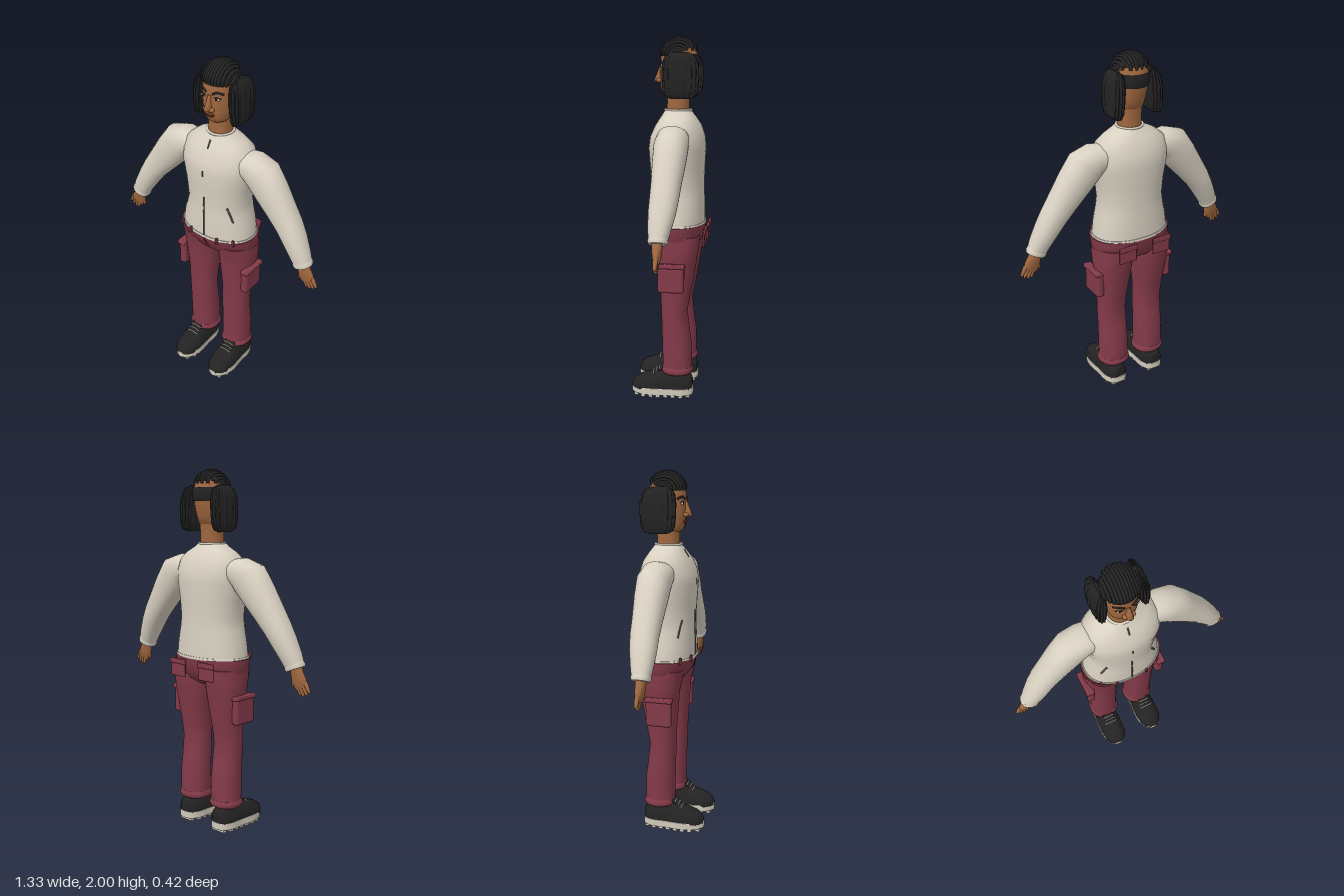
import * as THREE from 'three';
import { RoundedBoxGeometry } from 'three/addons/geometries/RoundedBoxGeometry.js';

const V = (x, y, z) => new THREE.Vector3(x, y, z);
const P = 2.2; // cross-section squareness

// Cross-section axes for upright, sideways and forward-running lofts
const upright = () => [V(1, 0, 0), V(0, 0, 1)];
const limb = d => [V(0, 0, 1), V(-d.y, d.x, 0).normalize()];
const forward = () => [V(0, 1, 0), V(1, 0, 0)];

// Skin through rows of [x, y, z, radiusA, radiusB], closed by caps
function loft(rows, frame = upright, n = 32, ripples = 0) {
  const pos = [], index = [];
  rows.forEach((r, i) => {
    const a = rows[Math.max(0, i - 1)], b = rows[Math.min(rows.length - 1, i + 1)];
    const [u, v] = frame(V(b[0] - a[0], b[1] - a[1], b[2] - a[2]).normalize());
    for (let j = 0; j < n; j++) {
      const t = j / n * Math.PI * 2, c = Math.cos(t), s = Math.sin(t);
      const k = ripples ? 0.88 + 0.16 * Math.abs(Math.sin(t * ripples / 2)) : 1;
      const q = V(r[0], r[1], r[2])
        .addScaledVector(u, Math.sign(c) * Math.abs(c) ** (2 / P) * r[3] * k)
        .addScaledVector(v, Math.sign(s) * Math.abs(s) ** (2 / P) * r[4] * k);
      pos.push(q.x, q.y, q.z);
      if (i < rows.length - 1) {
        const p = i * n + j, o = i * n + (j + 1) % n;
        index.push(p, p + n, o, o, p + n, o + n);
      }
    }
  });
  for (const i of [0, rows.length - 1]) {
    const base = pos.length / 3;
    pos.push(...pos.slice(i * n * 3, (i + 1) * n * 3), ...rows[i].slice(0, 3));
    for (let j = 0; j < n; j++) {
      const p = base + j, o = base + (j + 1) % n;
      index.push(...(i ? [base + n, o, p] : [base + n, p, o]));
    }
  }
  const g = new THREE.BufferGeometry();
  g.setAttribute('position', new THREE.Float32BufferAttribute(pos, 3));
  g.setIndex(index);
  g.computeVertexNormals();
  return g;
}

// Front surface of an upright loft at x, y
function frontZ(rows, x, y) {
  let i = 0;
  while (i < rows.length - 2 && rows[i + 1][1] < y) i++;
  const t = (y - rows[i][1]) / (rows[i + 1][1] - rows[i][1]);
  const at = k => THREE.MathUtils.lerp(rows[i][k], rows[i + 1][k], t);
  return at(2) + at(4) * Math.max(0, 1 - Math.abs(x / at(3)) ** P) ** (1 / P);
}

function mirrored(geo) {
  const g = geo.clone().scale(-1, 1, 1);
  const id = g.index ? Array.from(g.index.array) : [...Array(g.attributes.position.count).keys()];
  for (let i = 0; i < id.length; i += 3) [id[i], id[i + 1]] = [id[i + 1], id[i]];
  g.setIndex(id);
  return g;
}

const blob = (x, y, z, a, b, c) => new THREE.SphereGeometry(1, 20, 14).scale(a, b, c).translate(x, y, z);
const tube = (pts, r, n = 12) => new THREE.TubeGeometry(new THREE.CatmullRomCurve3(pts), n, r, 8);
const pad = (x, y, z, w, h, d, r = 0.006) => new RoundedBoxGeometry(w, h, d, 2, r).translate(x, y, z);

export function createModel() {
  const model = new THREE.Group();
  const paint = (name, color) => Object.assign(new THREE.MeshStandardMaterial({ color }), { name });
  const cream = paint('cream cloth', 0xd8d0c1), maroon = paint('maroon cloth', 0x843a49);
  const skin = paint('skin', 0xa0673f), black = paint('black', 0x232323);
  const grey = paint('zip grey', 0x5a5650), sole = paint('sole', 0xd2cbbb);
  const white = paint('eye white', 0xe6e0d4), iris = paint('iris', 0x2c1a10);
  const lips = paint('lips', 0x6e3f2a), seam = paint('seam', 0x4c1f2a);
  const add = (name, geo, mat) => {
    const m = new THREE.Mesh(geo, mat);
    m.name = name;
    model.add(m);
  };
  const pair = (name, geo, mat) => {
    add('left ' + name, geo, mat);
    add('right ' + name, mirrored(geo), mat);
  };

  // Jacket body
  const torso = [
    [0, 0.98, -0.035, 0.222, 0.153], [0, 1.06, -0.035, 0.212, 0.152], [0, 1.14, -0.035, 0.194, 0.149],
    [0, 1.2, -0.035, 0.185, 0.147], [0, 1.3, -0.034, 0.195, 0.151], [0, 1.4, -0.033, 0.214, 0.157],
    [0, 1.46, -0.035, 0.214, 0.15], [0, 1.52, -0.038, 0.198, 0.126], [0, 1.56, -0.038, 0.15, 0.1],
    [0, 1.587, -0.037, 0.098, 0.082], [0, 1.603, -0.036, 0.076, 0.072]];
  add('jacket body', loft(torso, upright, 40), cream);
  add('jacket hem', loft([[0, 0.976, -0.035, 0.224, 0.155], [0, 0.983, -0.035, 0.229, 0.16], [0, 0.994, -0.035, 0.224, 0.156]], upright, 40), cream);
  add('collar', new THREE.TorusGeometry(0.071, 0.007, 8, 32).rotateX(Math.PI / 2).translate(0, 1.604, -0.036), cream);
  for (const [a, b] of [[0.99, 1.25], [1.385, 1.42], [1.535, 1.575]]) {
    const pts = [0, 0.25, 0.5, 0.75, 1].map(t => a + (b - a) * t).map(y => V(0, y, frontZ(torso, 0, y)));
    add('front zip', tube(pts, 0.004), grey);
  }
  pair('pocket zip', tube([0, 0.5, 1].map(t => V(0.16 - 0.032 * t, 1.115 + 0.095 * t, 0))
    .map(p => p.setZ(frontZ(torso, p.x, p.y))), 0.005), grey);

  // Sleeves and cuffs
  pair('sleeve', loft([
    [0.15, 1.46, -0.035, 0.08, 0.065], [0.215, 1.455, -0.035, 0.088, 0.084], [0.275, 1.425, -0.035, 0.09, 0.104],
    [0.335, 1.35, -0.033, 0.086, 0.095], [0.4, 1.265, -0.03, 0.078, 0.083], [0.46, 1.185, -0.027, 0.074, 0.072],
    [0.5, 1.12, -0.022, 0.07, 0.065], [0.545, 1.04, -0.015, 0.057, 0.057], [0.57, 0.985, -0.012, 0.046, 0.051]], limb), cream);
  pair('cuff', loft([[0.561, 1.005, -0.012, 0.049, 0.053], [0.566, 0.994, -0.012, 0.052, 0.056], [0.572, 0.98, -0.012, 0.047, 0.052]], limb), cream);

  // Hands
  pair('palm', loft([
    [0.57, 1.0, -0.01, 0.028, 0.03], [0.578, 0.965, -0.01, 0.027, 0.035], [0.592, 0.925, -0.01, 0.023, 0.045],
    [0.606, 0.895, -0.01, 0.015, 0.042], [0.612, 0.883, -0.01, 0.009, 0.034]], limb, 20), skin);
  const fingers = [[0.638, 0.912, 0.662, 0.866], [0.623, 0.9, 0.645, 0.852], [0.607, 0.893, 0.625, 0.842], [0.592, 0.892, 0.604, 0.845], [0.568, 0.94, 0.552, 0.885]];
  for (const [x, y, tx, ty] of fingers) {
    const at = (t, r) => [x + (tx - x) * t, y + (ty - y) * t, -0.01, r, r * 0.85];
    pair('finger', loft([at(-0.2, 0.01), at(0, 0.013), at(0.6, 0.011), at(0.9, 0.008), at(1, 0.003)], limb, 10), skin);
  }

  // Trousers
  const hips = [[0, 0.83, -0.05, 0.09, 0.06], [0, 0.86, -0.048, 0.2, 0.105], [0, 0.92, -0.042, 0.234, 0.143], [0, 0.985, -0.035, 0.236, 0.159]];
  add('hips', loft(hips, upright, 40), maroon);
  pair('trouser leg', loft([
    [0.12, 0.15, -0.05, 0.084, 0.081], [0.12, 0.3, -0.048, 0.084, 0.083], [0.12, 0.4, -0.04, 0.083, 0.077],
    [0.121, 0.5, -0.033, 0.083, 0.073], [0.121, 0.6, -0.04, 0.085, 0.084], [0.12, 0.7, -0.046, 0.096, 0.097],
    [0.12, 0.8, -0.05, 0.109, 0.108], [0.12, 0.86, -0.048, 0.112, 0.12], [0.122, 0.93, -0.042, 0.106, 0.13]]), maroon);
  pair('trouser cuff', loft([[0.12, 0.14, -0.05, 0.085, 0.082], [0.12, 0.153, -0.05, 0.093, 0.09], [0.12, 0.165, -0.05, 0.091, 0.088], [0.12, 0.178, -0.05, 0.084, 0.082]]), maroon);
  for (const x of [0.09, 0.175]) {
    pair('belt loop', pad(x, 0.99, frontZ(hips, x, 0.98) + 0.004, 0.014, 0.04, 0.012, 0.003), maroon);
  }
  add('fly seam', tube([0.975, 0.945, 0.912].map((y, i) => V(0.008 * i, y, frontZ(hips, 0, y))), 0.003), seam);

  // Cargo pockets and back pockets with flaps
  pair('cargo pocket', pad(0.223, 0.7, -0.027, 0.046, 0.145, 0.145, 0.016), maroon);
  pair('cargo flap', new RoundedBoxGeometry(0.05, 0.026, 0.156, 2, 0.008).rotateZ(0.12).translate(0.229, 0.777, -0.027), maroon);
  pair('back pocket', pad(0.108, 0.92, -0.196, 0.11, 0.095, 0.012, 0.005), maroon);
  pair('back pocket flap', pad(0.108, 0.958, -0.202, 0.116, 0.03, 0.014, 0.005), maroon);

  // Shoes
  const upper = loft([
    [0.127, 0.05, -0.136, 0.06, 0.03], [0.127, 0.05, -0.122, 0.09, 0.053], [0.127, 0.05, -0.08, 0.105, 0.067],
    [0.127, 0.05, 0, 0.108, 0.069], [0.127, 0.05, 0.05, 0.1, 0.072], [0.127, 0.05, 0.1, 0.082, 0.074],
    [0.127, 0.05, 0.16, 0.062, 0.066], [0.127, 0.05, 0.19, 0.044, 0.046], [0.127, 0.05, 0.206, 0.014, 0.018]], forward);
  const up = upper.attributes.position;
  for (let i = 0; i < up.count; i++) up.setY(i, Math.max(0.045, up.getY(i)));
  upper.computeVertexNormals();
  pair('shoe upper', upper, black);
  const half = [[0.05, 0.172], [0.073, 0.1], [0.068, 0], [0.066, -0.08], [0.042, -0.127]];
  const rim = [[0, 0.206], ...half, [0, -0.138], ...half.map(([x, z]) => [-x, z]).reverse()];
  const outline = new THREE.CatmullRomCurve3(rim.map(([x, z]) => V(x, z, 0)), true).getPoints(48).slice(0, -1);
  const plate = new THREE.ExtrudeGeometry(new THREE.Shape(outline.map(p => new THREE.Vector2(p.x, p.y))),
    { depth: 0.032, bevelSize: 0.004, bevelThickness: 0.004, bevelSegments: 2 });
  pair('shoe sole', plate.rotateX(Math.PI / 2).translate(0.127, 0.051, 0), sole);
  for (let i = 0; i < 8; i++) {
    const w = [0.09, 0.122, 0.126, 0.128, 0.134, 0.138, 0.128, 0.085][i];
    pair('sole tread', new THREE.BoxGeometry(w, 0.016, 0.022).translate(0.127, 0.008, -0.115 + i * 0.042), sole);
  }
  pair('shoe tongue', new RoundedBoxGeometry(0.07, 0.014, 0.05, 2, 0.006).rotateX(0.5).translate(0.127, 0.16, 0.04), black);
  for (let i = 0; i < 3; i++) {
    const z = 0.045 + i * 0.018, y = 0.171 - i * 0.014;
    pair('lace', tube([V(0.09, y - 0.012, z), V(0.127, y, z + 0.004), V(0.164, y - 0.012, z)], 0.0035), sole);
  }

  // Neck, head and face
  add('neck', loft([[0, 1.57, -0.036, 0.066, 0.064], [0, 1.64, -0.036, 0.062, 0.06], [0, 1.73, -0.04, 0.064, 0.065]]), skin);
  const head = [
    [0, 1.67, -0.008, 0.03, 0.034], [0, 1.683, -0.015, 0.058, 0.058], [0, 1.71, -0.025, 0.074, 0.08],
    [0, 1.75, -0.03, 0.081, 0.09], [0, 1.8, -0.035, 0.086, 0.098], [0, 1.86, -0.04, 0.088, 0.1],
    [0, 1.9, -0.042, 0.086, 0.099], [0, 1.94, -0.043, 0.073, 0.084], [0, 1.97, -0.043, 0.048, 0.055], [0, 1.983, -0.043, 0.02, 0.025]];
  add('head', loft(head), skin);
  add('nose bridge', loft([[0, 1.75, 0.065, 0.012, 0.012], [0, 1.762, 0.066, 0.021, 0.032], [0, 1.79, 0.062, 0.014, 0.024], [0, 1.84, 0.055, 0.01, 0.012]], upright, 16), skin);
  pair('nostril', blob(0.02, 1.763, 0.066, 0.014, 0.012, 0.016), skin);
  add('upper lip', blob(0, 1.731, 0.059, 0.03, 0.006, 0.01), lips);
  add('lower lip', blob(0, 1.72, 0.057, 0.024, 0.006, 0.01), lips);
  const ez = frontZ(head, 0.042, 1.825);
  pair('eye', blob(0.042, 1.825, ez, 0.018, 0.009, 0.006), white);
  pair('iris', blob(0.041, 1.825, ez + 0.004, 0.008, 0.008, 0.004), iris);
  pair('eyelid', tube([V(0.022, 1.826, ez + 0.003), V(0.042, 1.836, ez + 0.005), V(0.063, 1.828, ez - 0.006)], 0.0025), black);
  pair('eyebrow', tube([0.018, 0.042, 0.068].map((x, i) => V(x, [1.849, 1.859, 1.848][i], frontZ(head, x, 1.852))), 0.006), black);

  // Hair: front cap, band behind, cornrows running back, and side bunches
  const shell = (phi, len, top, tall) => new THREE.SphereGeometry(1, 32, 12, phi, len, top, tall)
    .scale(0.099, 0.119, 0.108).translate(0, 1.87, -0.043);
  add('hair cap', shell(-0.35, Math.PI + 0.7, 0, 1.36), black);
  add('back hair band', shell(Math.PI - 0.1, Math.PI + 0.2, 1.3, 0.62), black);
  for (let i = -6; i <= 6; i++) {
    const x = i * 0.015, k = Math.sqrt(1 - (x / 0.1) ** 2);
    const t0 = Math.asin(0.025 / (0.12 * k));
    const t1 = Math.PI - Math.asin(Math.min(0.95, (i % 2 ? 0.055 : 0.068) / (0.12 * k)));
    const pts = [...Array(12).keys()].map(j => {
      const t = t0 + (t1 - t0) * j / 11, r = k * (j % 11 ? 1 : 0.9);
      return V(x, 1.87 + 0.121 * r * Math.sin(t), -0.043 + 0.108 * r * Math.cos(t));
    });
    add('cornrow', tube(pts, 0.009, 24), black);
  }
  pair('hair bunch', loft([
    [0.117, 1.668, -0.062, 0.01, 0.05], [0.117, 1.68, -0.062, 0.023, 0.078], [0.116, 1.71, -0.062, 0.029, 0.092],
    [0.114, 1.77, -0.062, 0.033, 0.097], [0.112, 1.83, -0.062, 0.034, 0.097], [0.107, 1.875, -0.06, 0.03, 0.088],
    [0.102, 1.9, -0.058, 0.022, 0.072], [0.098, 1.914, -0.056, 0.009, 0.04]], upright, 96, 16), black);
  return model;
}
